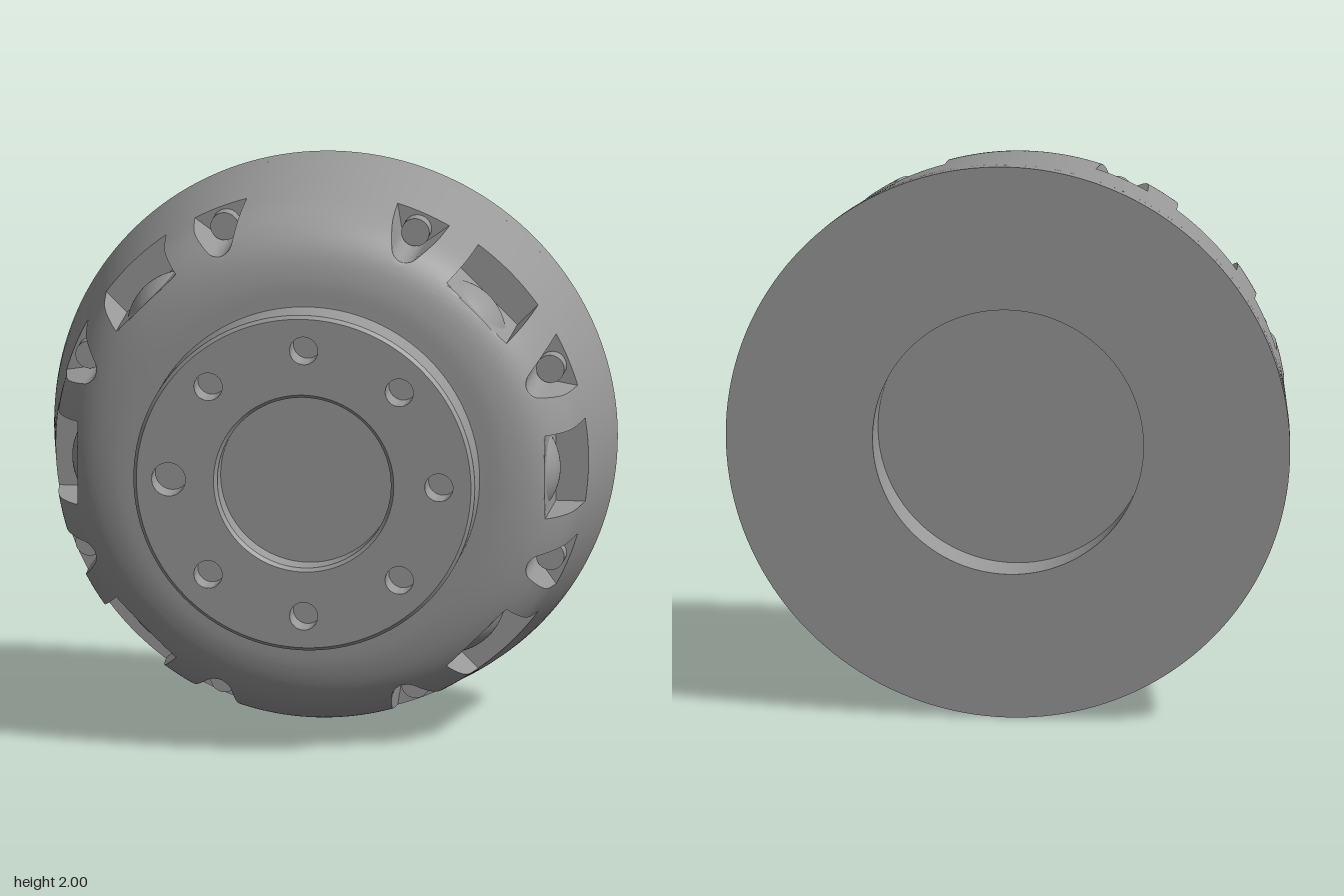
import * as THREE from 'three';
import { toCreasedNormals } from 'three/addons/utils/BufferGeometryUtils.js';

const material = new THREE.MeshStandardMaterial({ color: 0x999999 });
const DEG = Math.PI / 180;
const FLOOR = 0.83;        // radial height of the wide pocket floors
const POCKET_BACK = -0.06; // z of the flat wall behind every pocket

function addMesh(parent, name, geometry) {
  const mesh = new THREE.Mesh(geometry, material);
  mesh.name = name;
  parent.add(mesh);
  return mesh;
}

// Revolve [radius, z] points around the z axis
function revolve(points, segments = 128) {
  const g = new THREE.LatheGeometry(points.map(([r, z]) => new THREE.Vector2(r, z)), segments);
  g.rotateX(Math.PI / 2);
  return toCreasedNormals(g, 0.5);
}

const surface = (R, u) => Math.sqrt(R * R - u * u);

// Pocket cross-sections: half width at body radius R, and floor height at each u
const wide = {
  steps: 12,
  walls: true,
  half: () => 0.15,
  floor: () => FLOOR,
};
const groove = {
  steps: 24,
  walls: false,
  // where the flared side meets the drum surface
  half(R) {
    let lo = 0, hi = 0.12;
    for (let i = 0; i < 30; i++) {
      const mid = (lo + hi) / 2;
      if (surface(R, mid) > this.floor(mid)) lo = mid;
      else hi = mid;
    }
    return lo;
  },
  floor(u) {
    const a = Math.abs(u), r = 0.055, t = 0.0466;
    return a < t ? 0.885 - Math.sqrt(r * r - a * a) : 0.856 + 1.6 * (a - t);
  },
};

// Pockets around the rim: wide ones every 45 degrees except top and bottom, grooves between
const pockets = [];
for (let i = 0; i < 16; i++) {
  if (i === 4 || i === 12) continue;
  pockets.push({ angle: i * 22.5 * DEG, kind: i % 2 ? groove : wide });
}

// One closed outline of the body at radius R, with or without the pockets cut in
function outline(R, z, cut) {
  const points = [];
  pockets.forEach(({ angle, kind }, i) => {
    const c = Math.cos(angle), s = Math.sin(angle);
    const put = (u, h) => points.push(h * c - u * s, h * s + u * c, z);
    const half = kind.half(R);
    if (kind.walls) put(-half, surface(R, half));
    for (let k = 0; k <= kind.steps; k++) {
      const u = half * (2 * k / kind.steps - 1);
      put(u, cut ? Math.min(kind.floor(u), surface(R, u)) : surface(R, u));
    }
    if (kind.walls) put(half, surface(R, half));
    // plain arc up to the next pocket
    const next = pockets[(i + 1) % pockets.length];
    const from = angle + Math.asin(half / R);
    const to = next.angle + (i + 1 === pockets.length ? 2 * Math.PI : 0) - Math.asin(next.kind.half(R) / R);
    const steps = next.kind === kind ? 24 : 8;
    for (let k = 1; k < steps; k++) {
      const t = from + (to - from) * k / steps;
      points.push(R * Math.cos(t), R * Math.sin(t), z);
    }
  });
  return points;
}

// Tapered drum with a rounded shoulder, skinned over successive outlines
function drumGeometry() {
  const shoulder = new THREE.CatmullRomCurve3([
    [0.946, POCKET_BACK], [0.93, 0.07], [0.918, 0.12], [0.897, 0.165], [0.868, 0.205],
    [0.83, 0.238], [0.78, 0.264], [0.7, 0.284], [0.6, 0.29],
  ].map(([r, z]) => new THREE.Vector3(r, z, 0)));
  const rows = [outline(0.993, -0.37, false), outline(0.946, POCKET_BACK, false)];
  for (const p of shoulder.getSpacedPoints(64)) rows.push(outline(p.x, p.y, true));
  const n = rows[0].length / 3;
  const index = [];
  for (let j = 0; j < rows.length - 1; j++) {
    for (let i = 0; i < n; i++) {
      const a = j * n + i, b = j * n + (i + 1) % n;
      index.push(a, b, b + n, a, b + n, a + n);
    }
  }
  const g = new THREE.BufferGeometry();
  g.setAttribute('position', new THREE.Float32BufferAttribute(rows.flat(), 3));
  g.setIndex(index);
  return toCreasedNormals(g, 0.5);
}

export function createModel() {
  const model = new THREE.Group();
  model.name = 'wheelHub';
  const hub = new THREE.Group();
  hub.name = 'hub';
  hub.position.y = 1;
  model.add(hub);

  addMesh(hub, 'drum', drumGeometry());

  // Back plate with its shallow recess and rim
  addMesh(hub, 'backPlate', revolve([
    [0, -0.265], [0.48, -0.265], [0.48, -0.43], [1, -0.43], [0.993, -0.37],
  ], 160));

  // Raised flange: chamfered side, drilled face and blind centre bore
  addMesh(hub, 'flangeSide', revolve([[0.606, 0.285], [0.606, 0.418], [0.594, 0.43]]));
  addMesh(hub, 'centreBore', revolve([[0.32, 0.43], [0.308, 0.418], [0.308, 0.33], [0, 0.33]]));

  const face = new THREE.Shape().absarc(0, 0, 0.594, 0, Math.PI * 2, false);
  const cutHole = (x, y, r) => face.holes.push(new THREE.Path().absarc(x, y, r, 0, Math.PI * 2, true));
  cutHole(0, 0, 0.32);
  for (let i = 0; i < 8; i++) {
    const x = 0.48 * Math.cos(i * 45 * DEG), y = 0.48 * Math.sin(i * 45 * DEG);
    const r = i === 4 ? 0.06 : 0.05;
    cutHole(x, y, r);
    const hole = addMesh(hub, 'boltHole', revolve([[r, 0], [r, -0.1], [0, -0.1]], 32));
    hole.position.set(x, y, 0.43);
  }
  const flangeFace = addMesh(hub, 'flangeFace', new THREE.ShapeGeometry(face, 64));
  flangeFace.position.z = 0.43;

  // Domes on the wide pocket floors, pegs at the back of the grooves
  const domeBase = 0.115, domeHeight = 0.035;
  const domeR = (domeBase ** 2 + domeHeight ** 2) / (2 * domeHeight);
  const dome = new THREE.SphereGeometry(domeR, 40, 10, 0, Math.PI * 2, 0, Math.asin(domeBase / domeR));
  dome.rotateZ(-Math.PI / 2).translate(FLOOR + domeHeight - domeR, 0, 0.09);
  const peg = new THREE.CylinderGeometry(0.05, 0.05, 0.07, 32);
  peg.rotateX(Math.PI / 2).translate(0.885, 0, -0.035);
  for (const { angle, kind } of pockets) {
    const part = kind === wide ? addMesh(hub, 'pocketDome', dome) : addMesh(hub, 'groovePeg', peg);
    part.rotation.z = angle;
  }
  return model;
}
